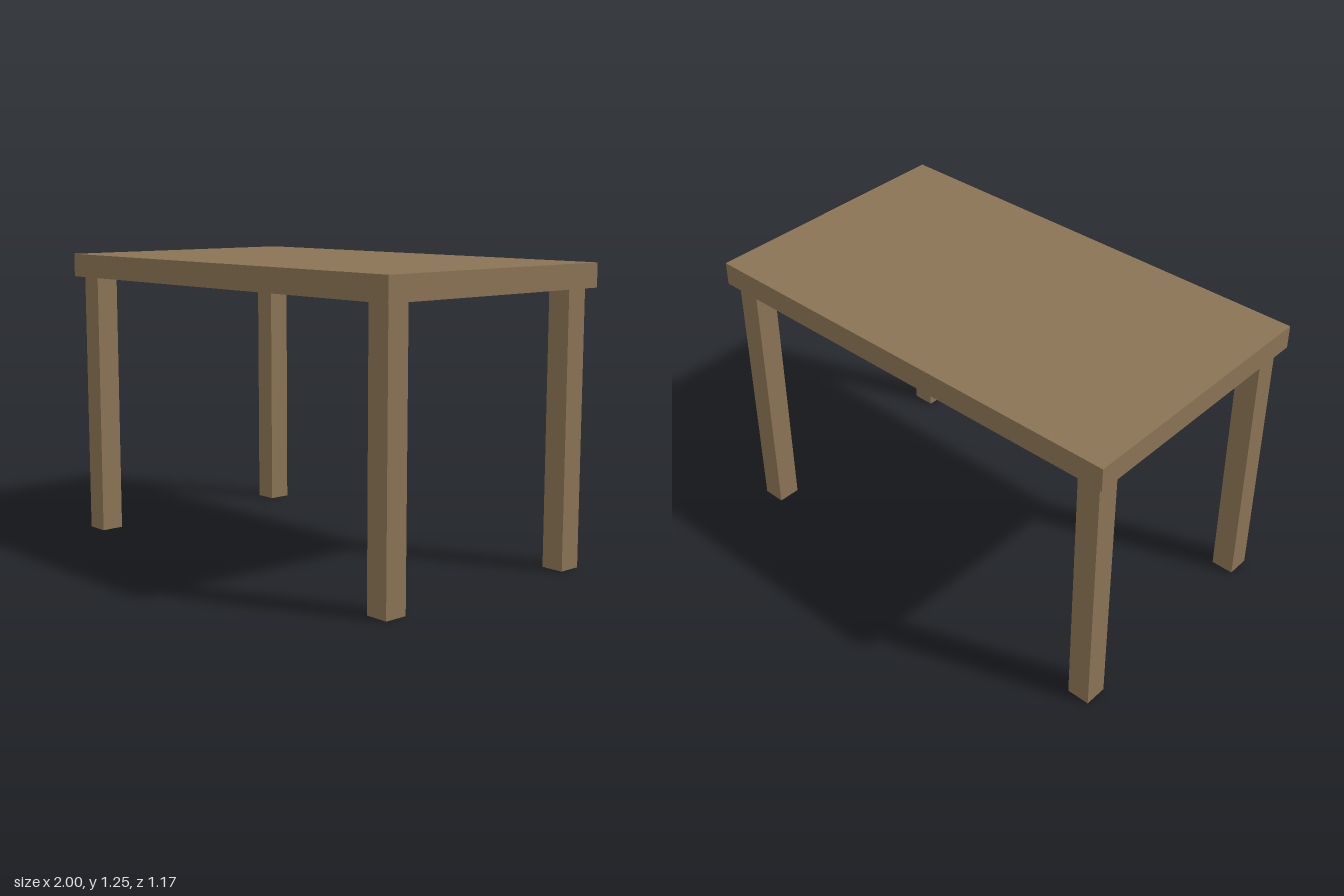
import * as THREE from 'three';

export function createModel() {
  const table = new THREE.Group();
  table.name = 'table';
  const wood = new THREE.MeshStandardMaterial({ color: 0x8b7355 });
  wood.name = 'brown wood';

  const height = 1.25, topThickness = 0.1, legWidth = 0.1;
  const legHeight = height - topThickness;

  // Flat slab top
  const top = new THREE.Mesh(new THREE.BoxGeometry(2, topThickness, 1.167), wood);
  top.name = 'tableTop';
  top.position.y = height - topThickness / 2;
  table.add(top);

  // Four square legs, set in slightly from the corners
  const legGeometry = new THREE.BoxGeometry(legWidth, legHeight, legWidth);
  for (const [side, sx] of [['Left', 1], ['Right', -1]]) {
    for (const [end, sz] of [['front', 1], ['back', -1]]) {
      const leg = new THREE.Mesh(legGeometry, wood);
      leg.name = `${end}${side}Leg`;
      leg.position.set(sx * 0.917, legHeight / 2, sz * 0.5);
      table.add(leg);
    }
  }
  return table;
}
